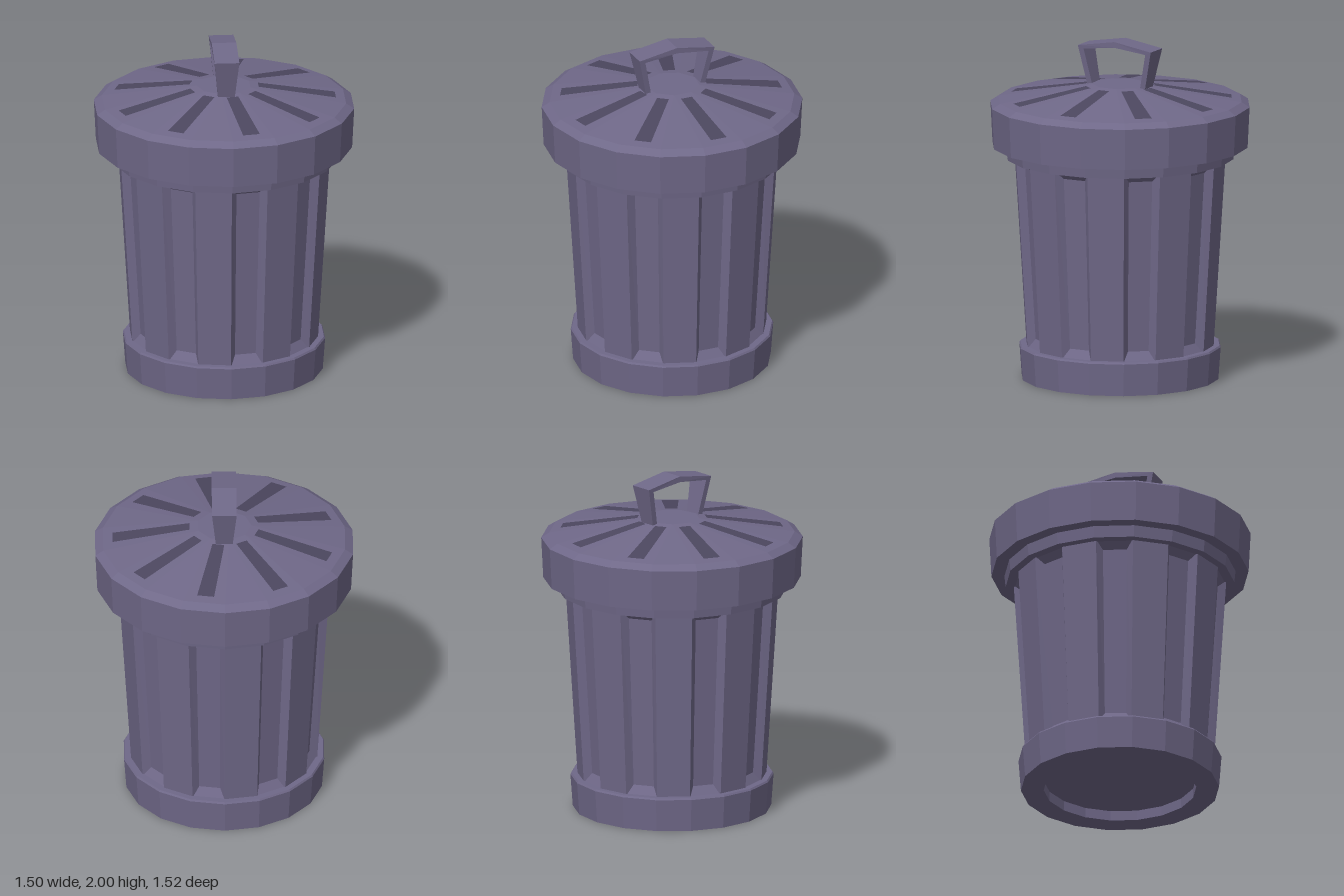
import * as THREE from 'three';

const SIDES = 18, GROOVES = 9;
const paint = new THREE.MeshStandardMaterial({ color: 0x6f6888, flatShading: true });
const darkPaint = new THREE.MeshStandardMaterial({ color: 0x4c475f, flatShading: true });

// Point at an angle in degrees, measured from +z towards +x
function polar(r, deg, y) {
  const a = THREE.MathUtils.degToRad(deg);
  return [r * Math.sin(a), y, r * Math.cos(a)];
}

function named(name, geometry, material = paint) {
  const mesh = new THREE.Mesh(geometry, material);
  mesh.name = name;
  return mesh;
}

// Surface from convex polygons, corners counter-clockwise from outside
function fromPolygons(polygons) {
  const pos = [];
  for (const p of polygons)
    for (let i = 1; i < p.length - 1; i++) pos.push(...p[0], ...p[i], ...p[i + 1]);
  const g = new THREE.BufferGeometry();
  g.setAttribute('position', new THREE.Float32BufferAttribute(pos, 3));
  g.computeVertexNormals();
  return g;
}

function lathe(points) {
  return new THREE.LatheGeometry(points.map(([r, y]) => new THREE.Vector2(r, y)), SIDES);
}

// Tapered wall: flat ribs alternating with sunken panels
function wallGeometry() {
  const low = 0.19, high = 1.32;
  const radius = (y) => 0.55 + (0.07 * (y - low)) / (high - low);
  const faces = [];
  const corners = (t0, t1, y0, y1, inset) => [
    polar(radius(y0) - inset, t0, y0), polar(radius(y0) - inset, t1, y0),
    polar(radius(y1) - inset, t1, y1), polar(radius(y1) - inset, t0, y1),
  ];
  for (let k = 0; k < GROOVES; k++) {
    const t = k * 40;
    const outer = corners(t, t + 20, low, high, 0);
    const inner = corners(t + 3, t + 17, 0.25, 1.27, 0.045);
    faces.push(inner, corners(t + 20, t + 40, low, high, 0));
    for (let i = 0; i < 4; i++) {
      const j = (i + 1) % 4;
      faces.push([outer[i], outer[j], inner[j], inner[i]]);
    }
  }
  return fromPolygons(faces);
}

// Shallow lid top: nine-sided centre spreading to the round rim
function lidTopGeometry() {
  const faces = [], cap = [];
  const rim = (deg) => polar(0.715, deg, 1.65);
  const hub = (deg) => polar(0.16, deg, 1.74);
  for (let k = 0; k < GROOVES; k++) {
    const t = k * 40;
    faces.push([rim(t), rim(t + 20), hub(t + 30), hub(t - 10)]);
    faces.push([rim(t + 20), rim(t + 40), hub(t + 30)]);
    cap.push(hub(t + 30));
  }
  faces.push(cap);
  return fromPolygons(faces);
}

// One dark slot lying on the lid, pointing along +z
function slotGeometry() {
  const y = (z) => 1.743 - (0.09 * (z - 0.15)) / 0.554;
  const point = (x, z) => [x, y(z), z];
  return fromPolygons([[point(-0.05, 0.65), point(0.05, 0.65), point(0.035, 0.2), point(-0.035, 0.2)]]);
}

// Bent strap handle, wider at the top than at the feet
function handleGeometry() {
  const outline = [
    [0.188, 1.72], [0.24, 1.96], [0, 2], [-0.24, 1.96], [-0.188, 1.72],
    [-0.155, 1.72], [-0.203, 1.942], [0, 1.966], [0.203, 1.942], [0.155, 1.72],
  ].map(([z, y]) => new THREE.Vector2(z, y));
  const g = new THREE.ExtrudeGeometry(new THREE.Shape(outline), { depth: 2, bevelEnabled: false });
  g.translate(0, 0, -1).rotateY(-Math.PI / 2);
  const p = g.attributes.position;
  for (let i = 0; i < p.count; i++) {
    const f = THREE.MathUtils.clamp((p.getY(i) - 1.72) / 0.24, 0, 1);
    p.setX(i, p.getX(i) * (0.048 + 0.024 * f));
  }
  g.computeVertexNormals();
  return g;
}

export function createModel() {
  const model = new THREE.Group();
  model.name = 'trashCan';

  // Can: hollow-footed base, ribbed wall and collar
  model.add(named('base', lathe([[0, 0.06], [0.445, 0.06], [0.445, 0], [0.578, 0], [0.592, 0.19], [0.585, 0.2], [0.48, 0.2]])));
  model.add(named('ribbedWall', wallGeometry()));
  model.add(named('collar', lathe([[0.55, 1.31], [0.667, 1.31], [0.675, 1.39]])));

  // Lid: rim, top, slots and handle
  const lid = new THREE.Group();
  lid.name = 'lid';
  lid.add(named('lidRim', lathe([[0.64, 1.38], [0.75, 1.38], [0.762, 1.62], [0.715, 1.65]])));
  lid.add(named('lidTop', lidTopGeometry()));
  const slot = slotGeometry();
  for (let k = 0; k < GROOVES; k++) {
    const mesh = named('lidSlot', slot, darkPaint);
    mesh.rotation.y = THREE.MathUtils.degToRad(10 + 40 * k);
    lid.add(mesh);
  }
  lid.add(named('handle', handleGeometry()));
  model.add(lid);
  return model;
}
